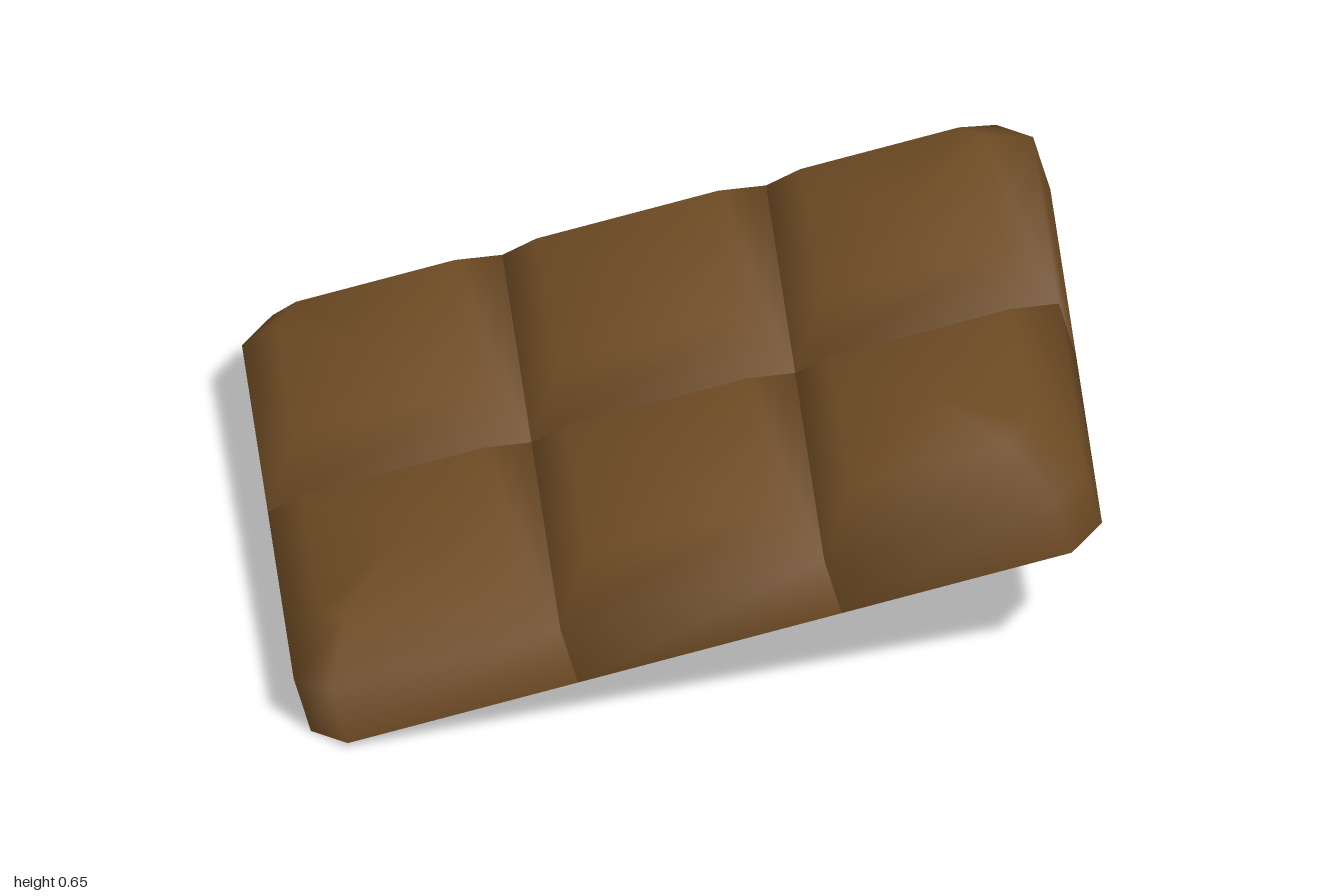
import * as THREE from 'three';

const WIDTH = 1.25, LENGTH = 1.65, COLS = 2, ROWS = 3;
const WALL = 0.14, TOP = 0.232, CORNER = 0.07, INSET = 0.69;

// Outline of one cell, counter-clockwise from above, with the bar's outer corners cut off
function cellOutline(col, row) {
  const w = WIDTH / COLS, l = LENGTH / ROWS;
  const cx = -WIDTH / 2 + (col + 0.5) * w, cz = -LENGTH / 2 + (row + 0.5) * l;
  const points = [];
  [[-1, 1], [1, 1], [1, -1], [-1, -1]].forEach(([sx, sz], i) => {
    const x = cx + sx * w / 2, z = cz + sz * l / 2;
    const outer = Math.abs(Math.abs(x) - WIDTH / 2) < 1e-6 && Math.abs(Math.abs(z) - LENGTH / 2) < 1e-6;
    if (!outer) { points.push([x, z]); return; }
    const alongX = [x - sx * CORNER, z], alongZ = [x, z - sz * CORNER];
    points.push(...(i % 2 ? [alongX, alongZ] : [alongZ, alongX]));
  });
  return { cx, cz, points };
}

// Pillow-shaped square: upright wall, sloping shoulder, nearly flat top
function pillowGeometry(col, row) {
  const { cx, cz, points } = cellOutline(col, row);
  const n = points.length, pos = [], index = [];
  for (const [y, s] of [[0, 1], [WALL, 1], [TOP, INSET]]) {
    for (const [x, z] of points) pos.push(cx + (x - cx) * s, y, cz + (z - cz) * s);
  }
  pos.push(cx, TOP + 0.006, cz);
  for (let i = 0; i < n; i++) {
    const j = (i + 1) % n;
    for (let r = 0; r < 2; r++) {
      const a = r * n + i, b = r * n + j;
      index.push(a, b, b + n, a, b + n, a + n);
    }
    index.push(2 * n + i, 2 * n + j, 3 * n);
  }
  const geometry = new THREE.BufferGeometry();
  geometry.setAttribute('position', new THREE.Float32BufferAttribute(pos, 3));
  geometry.setIndex(index);
  geometry.computeVertexNormals();
  return geometry;
}

// Flat base with cut corners
function baseGeometry() {
  const x = WIDTH / 2, z = LENGTH / 2, c = CORNER;
  const shape = new THREE.Shape([
    [-x + c, -z], [x - c, -z], [x, -z + c], [x, z - c],
    [x - c, z], [-x + c, z], [-x, z - c], [-x, -z + c],
  ].map(([a, b]) => new THREE.Vector2(a, b)));
  return new THREE.ShapeGeometry(shape).rotateX(Math.PI / 2);
}

export function createModel() {
  const chocolate = new THREE.MeshStandardMaterial({ color: 0x6e4b24 });
  chocolate.name = 'chocolate brown';

  const bar = new THREE.Group();
  bar.name = 'chocolateBar';
  for (let row = 0; row < ROWS; row++) {
    for (let col = 0; col < COLS; col++) {
      const square = new THREE.Mesh(pillowGeometry(col, row), chocolate);
      square.name = `square_${row + 1}_${col + 1}`;
      bar.add(square);
    }
  }
  const underside = new THREE.Mesh(baseGeometry(), chocolate);
  underside.name = 'underside';
  bar.add(underside);

  // Turned about 30 degrees and tipped up at the back
  const up = new THREE.Vector3(-0.102, 1, 0.243).normalize();
  const across = new THREE.Vector3(1.04, -0.04, 0.6).normalize();
  const along = new THREE.Vector3().crossVectors(across, up).normalize();
  across.crossVectors(up, along);
  bar.quaternion.setFromRotationMatrix(new THREE.Matrix4().makeBasis(across, up, along));
  bar.position.set(0.005, 0.222, -0.012);

  const model = new THREE.Group();
  model.name = 'model';
  model.add(bar);
  return model;
}
